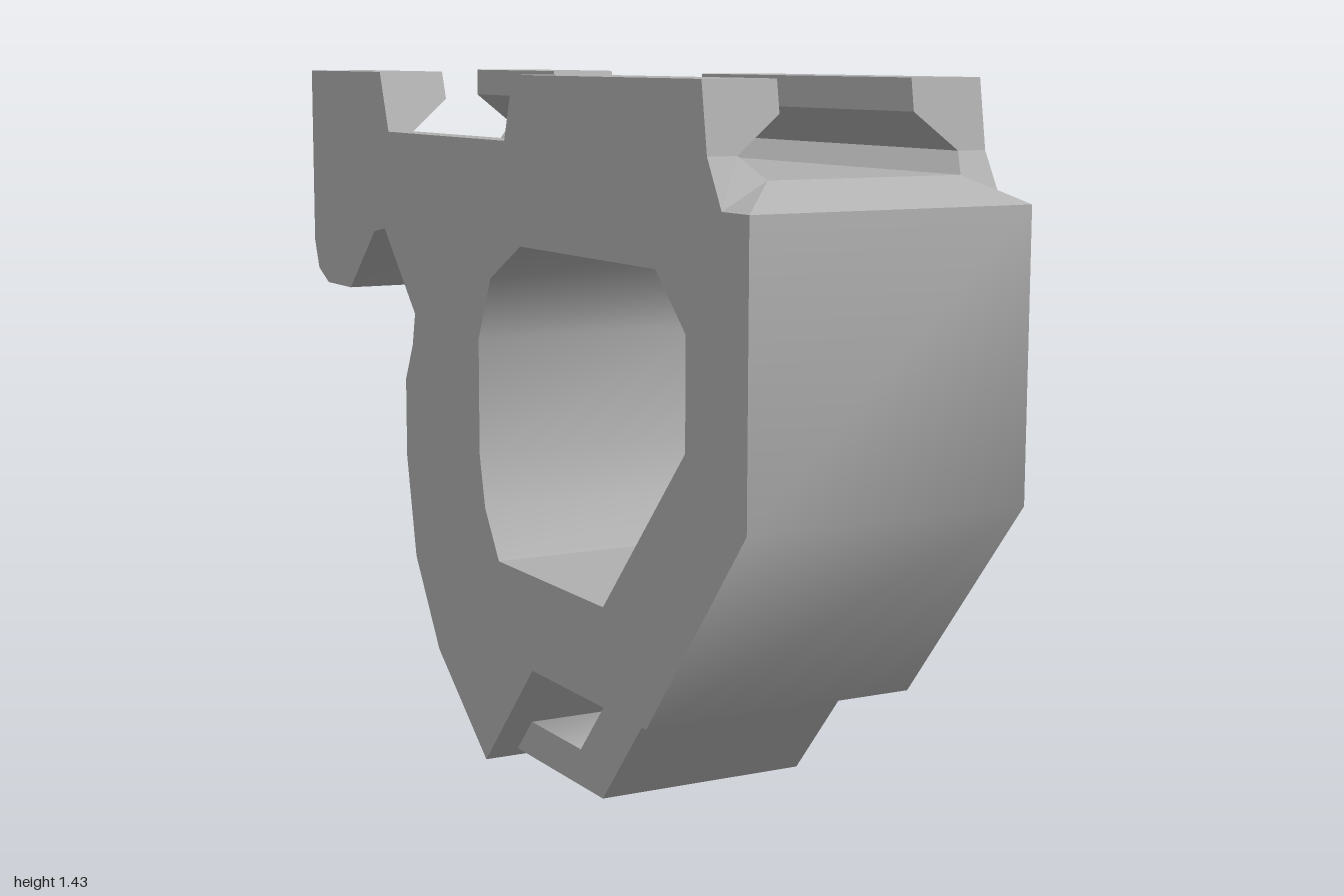
import * as THREE from 'three';
import { toCreasedNormals } from 'three/addons/utils/BufferGeometryUtils.js';

const points = (list) => list.map(([a, b]) => new THREE.Vector2(a, b));

// Side profile in (z, y), extruded across the width and centred on x = 0
function sideExtrude(outline, width, hole) {
  const shape = new THREE.Shape(points(outline));
  if (hole) shape.holes.push(new THREE.Path(points(hole)));
  const geo = new THREE.ExtrudeGeometry(shape, { depth: width, bevelEnabled: false });
  geo.translate(0, 0, -width / 2).rotateY(-Math.PI / 2);
  return toCreasedNormals(geo, 0.82);
}

// Cross-section in (x, y), run along z between end planes that lean with height
function rail(section, backAt, frontAt) {
  const geo = new THREE.ExtrudeGeometry(new THREE.Shape(points(section)), { depth: 1, bevelEnabled: false });
  const pos = geo.attributes.position;
  for (let i = 0; i < pos.count; i++) {
    const y = pos.getY(i);
    pos.setZ(i, pos.getZ(i) > 0.5 ? frontAt(y) : backAt(y));
  }
  geo.computeVertexNormals();
  return geo;
}

const lean = (y0, z0, y1, z1) => (y) =>
  THREE.MathUtils.lerp(z0, z1, THREE.MathUtils.clamp((y - y0) / (y1 - y0), 0, 1));

export function createModel() {
  const group = new THREE.Group();
  const grey = new THREE.MeshStandardMaterial({ color: 0xb0b0b0 });
  grey.name = 'grey';
  const add = (name, geo) => {
    const mesh = new THREE.Mesh(geo, grey);
    mesh.name = name;
    group.add(mesh);
  };
  const W = 0.29, LOW = 1.21, FLOOR = 1.26, LEDGE = 1.3, TOP = 1.43;

  // Body ring with rear hook
  add('body', sideExtrude(
    [[1, LOW], [1, 0.67], [0.65, 0.245], [0.175, 0.245], [-0.05, 0], [-0.29, 0.185],
      [-0.41, 0.37], [-0.455, 0.59], [-0.455, 0.76], [-0.415, 0.84], [-0.4, 0.91],
      [-0.565, 1.085], [-0.625, 1.075], [-0.775, 0.935], [-0.915, 0.935],
      [-0.975, 0.965], [-1, 1.03], [-1, LOW]],
    2 * W,
    [[0.79, 0.99], [0.68, 1.095], [0.13, 1.095], [-0.01, 1.02], [-0.07, 0.89],
      [-0.07, 0.65], [-0.045, 0.54], [0.02, 0.44], [0.48, 0.44], [0.79, 0.78]]));

  // Narrow loop under the body
  add('lowerLoop', sideExtrude(
    [[0.55, 0.247], [0.355, 0.02], [-0.045, 0.02], [0.025, 0.095], [0.26, 0.095], [0.395, 0.247]], 0.45));

  // Channel floor with low ledges on both sides
  const rear = () => -1;
  add('deck', rail(
    [[-W, LOW], [W, LOW], [W, LEDGE], [0.23, LEDGE], [0.2, FLOOR],
      [-0.2, FLOOR], [-0.23, LEDGE], [-W, LEDGE]],
    rear, lean(FLOOR, 0.91, LEDGE, 0.86)));

  // Sloped lip at the front of the channel
  const A = [-W, LOW, 1], B = [W, LOW, 1], C = [0.2, FLOOR, 0.91], D = [-0.2, FLOOR, 0.91];
  const E = [W, LOW, 0.91], F = [-W, LOW, 0.91];
  const lip = new THREE.BufferGeometry();
  lip.setAttribute('position', new THREE.Float32BufferAttribute(
    [A, B, C, A, C, D, B, E, C, A, D, F].flat(), 3));
  lip.computeVertexNormals();
  add('frontLip', lip);

  // Undercut rails, two per side
  for (const [side, s] of [['left', 1], ['right', -1]]) {
    const section = [[W, LEDGE], [W, TOP], [0.14, TOP], [0.14, 1.37], [0.23, LEDGE]]
      .map(([x, y]) => [x * s, y]);
    add(side + 'FrontRail', rail(section, lean(LEDGE, 0.06, TOP, 0.1), lean(LEDGE, 0.86, TOP, 0.84)));
    add(side + 'RearRail', rail(section, rear, lean(LEDGE, -0.535, TOP, -0.58)));
  }
  return group;
}
